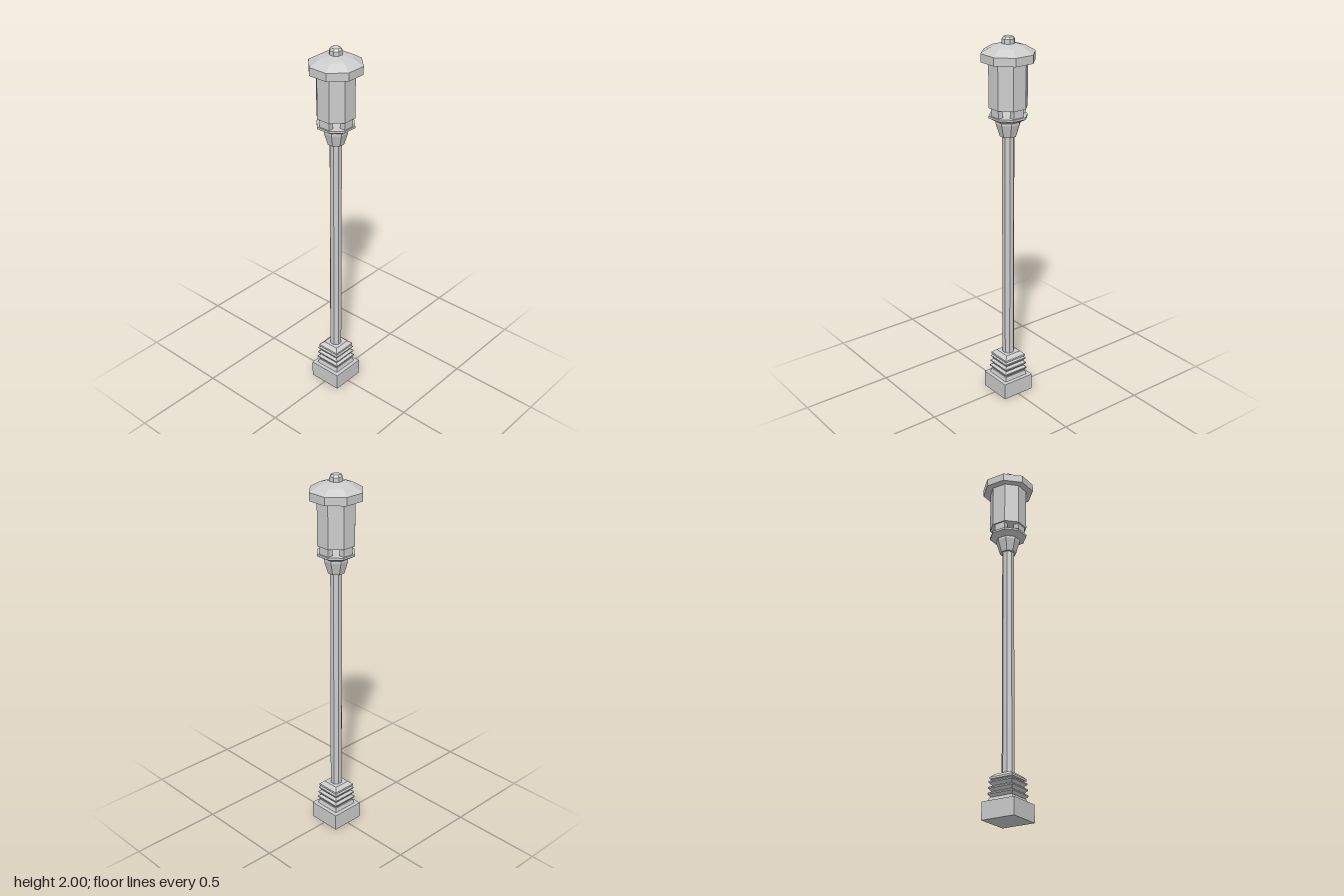
import * as THREE from 'three';

const material = new THREE.MeshStandardMaterial({ color: 0xcccccc, flatShading: true });

// Faceted upright part; profile holds [half-width across flats, height], bottom to top
function prism(name, sides, profile) {
  const k = 1 / Math.cos(Math.PI / sides);
  const points = profile.map(([r, y]) => new THREE.Vector2(r * k, y));
  points.unshift(new THREE.Vector2(0, profile[0][1]));
  points.push(new THREE.Vector2(0, profile[profile.length - 1][1]));
  const mesh = new THREE.Mesh(new THREE.LatheGeometry(points, sides, Math.PI / sides), material);
  mesh.name = name;
  return mesh;
}

export function createModel() {
  const model = new THREE.Group();
  model.name = 'streetLamp';

  // Square base block and ridged plinth
  const plinth = [[0.073, 0.09], [0.066, 0.115]];
  for (let i = 0; i < 3; i++) {
    const y = 0.115 + i * 0.03;
    const w = 0.073 - i * 0.002;
    plinth.push([w - 0.013, y], [w, y + 0.016], [w, y + 0.022], [w - 0.013, y + 0.03]);
  }
  plinth.push([0.066, 0.208], [0.066, 0.218], [0.046, 0.236]);
  model.add(
    prism('baseBlock', 4, [[0.094, 0], [0.094, 0.092]]),
    prism('ridgedPlinth', 4, plinth),
  );

  // Octagonal pole, flared collar and lantern tray
  model.add(
    prism('pole', 8, [[0.03, 0.22], [0.03, 1.5]]),
    prism('collar', 8, [[0.041, 1.488], [0.06, 1.555], [0.06, 1.575]]),
    prism('lanternTray', 8, [[0.06, 1.567], [0.094, 1.587], [0.094, 1.598]]),
  );

  // Four short feet hold the lantern above the tray
  const feet = new THREE.Group();
  feet.name = 'lanternFeet';
  for (let i = 0; i < 4; i++) {
    const foot = new THREE.Mesh(new THREE.BoxGeometry(0.062, 0.055, 0.03), material);
    const a = (i * Math.PI) / 2;
    foot.position.set(Math.sin(a) * 0.071, 1.62, Math.cos(a) * 0.071);
    foot.rotation.y = a;
    foot.name = 'lanternFoot';
    feet.add(foot);
  }
  model.add(feet);

  // Lantern body, roof and domed finial
  model.add(
    prism('lanternBody', 8, [[0.094, 1.64], [0.094, 1.885]]),
    prism('roof', 8, [[0.13, 1.875], [0.13, 1.918], [0.082, 1.948], [0.025, 1.964]]),
    prism('finial', 8, [[0.031, 1.95], [0.031, 1.985], [0.022, 1.996], [0.01, 2]]),
  );
  return model;
}
